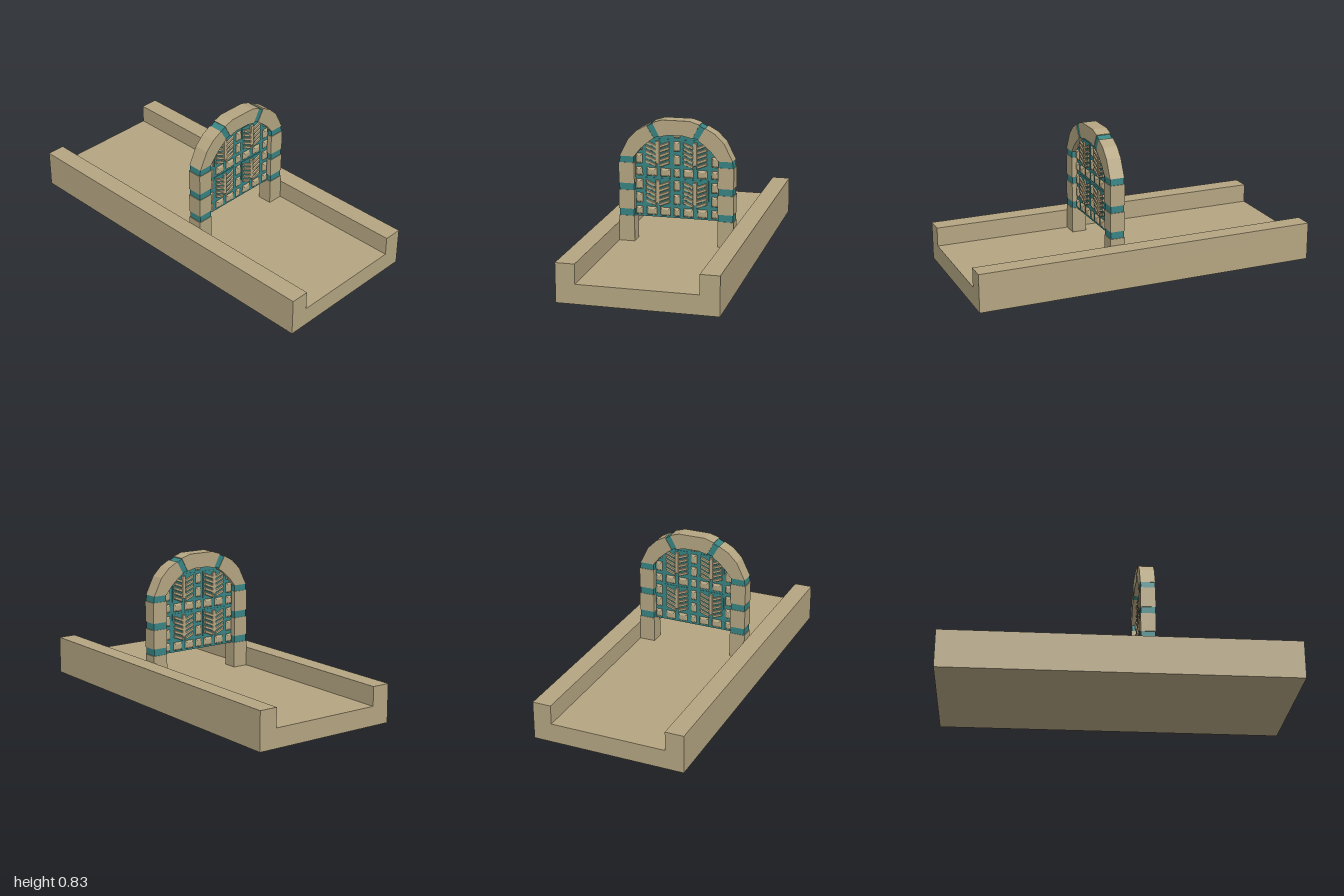
import * as THREE from 'three';

const stone = new THREE.MeshStandardMaterial({ color: 0xb5a682, flatShading: true });
const teal = new THREE.MeshStandardMaterial({ color: 0x388484, flatShading: true });

function add(parent, name, geometry, material, x = 0, y = 0, z = 0) {
  const mesh = new THREE.Mesh(geometry, material);
  mesh.name = name;
  mesh.position.set(x, y, z);
  parent.add(mesh);
  return mesh;
}

// Outline extruded along z, centred on z = 0
function slab(points, depth) {
  const shape = new THREE.Shape(points.map(([x, y]) => new THREE.Vector2(x, y)));
  return new THREE.ExtrudeGeometry(shape, { depth, bevelEnabled: false }).translate(0, 0, -depth / 2);
}

const flip = (points) => points.map(([x, y]) => [-x, y]);
const mirrored = (points) => [...points, ...flip(points).reverse()];

// Bar running through the door, with the same stepped bevel on both faces; slope shears it upward along x
function bevelBar(w, h, slope = 0, rim = 0.004, inset = 0.011) {
  const geometry = new THREE.BoxGeometry(w, h, 1, 1, 1, 5);
  const p = geometry.attributes.position;
  const levels = [[0.022, inset], [0.018, rim], [0.012, 0]];
  for (let i = 0; i < p.count; i++) {
    const z = p.getZ(i);
    const [depth, cut] = levels[Math.round((0.5 - Math.abs(z)) * 5)];
    const x = Math.sign(p.getX(i)) * (w / 2 - cut);
    const y = Math.sign(p.getY(i)) * (h / 2 - Math.min(cut, h * 0.28));
    p.setXYZ(i, x, y + slope * x, Math.sign(z) * depth);
  }
  geometry.computeVertexNormals();
  return geometry;
}

function createDoor() {
  const door = new THREE.Group();
  door.name = 'door';

  // Thin arched leaf
  add(door, 'doorLeaf', slab(mirrored([
    [0.26, 0.255], [0.26, 0.62], [0.215, 0.68], [0.14, 0.73], [0.06, 0.76],
  ]), 0.024), teal);

  // Horizontal rows of studs
  const columns = [[0, 0.037], [0.067, 0.058], [0.147, 0.058], [0.22, 0.039]];
  const sides = (x) => (x === 0 ? [1] : [-1, 1]);
  for (const y of [0.289, 0.518])
    for (const [x, w] of columns)
      for (const s of sides(x)) add(door, 'stud', bevelBar(w, 0.048), stone, s * x, y);

  // Upright columns of studs
  for (const y of [0.363, 0.443, 0.592, 0.672, 0.75])
    for (const [x, w] of [columns[0], columns[3]]) {
      if (x > 0 && y > 0.7) continue;
      for (const s of sides(x)) add(door, 'stud', bevelBar(w, 0.058), stone, s * x, y);
    }

  // Four square panels, each with a spine and five pairs of slanted ribs
  for (const px of [-0.111, 0.105])
    for (const py of [0.404, 0.632]) {
      const panel = new THREE.Group();
      panel.name = 'ribbedPanel';
      panel.position.set(px, py, 0);
      door.add(panel);
      add(panel, 'panelPlate', new THREE.BoxGeometry(0.158, 0.158, 0.029), teal);
      add(panel, 'spine', bevelBar(0.028, 0.136, 0, 0.002, 0.004), stone, 0, 0);
      for (let i = 0; i < 5; i++)
        for (const s of [-1, 1])
          add(panel, 'rib', bevelBar(0.062, 0.021, s * 0.4, 0.002, 0.004), stone, s * 0.039, 0.046 - i * 0.0275);
    }
  return door;
}

function createArch() {
  const arch = new THREE.Group();
  arch.name = 'archFrame';
  const depth = 0.085;

  // Teal core, showing in the gaps between stones
  const outer = [[0.329, 0.25], [0.329, 0.57], [0.325, 0.607], [0.272, 0.705], [0.223, 0.755], [0.165, 0.787], [0.135, 0.803], [0.08, 0.82]];
  const inner = [[0.245, 0.255], [0.245, 0.607], [0.205, 0.66], [0.165, 0.695], [0.126, 0.722], [0.094, 0.732], [0.045, 0.743]];
  const core = [...mirrored(outer), ...flip(inner), ...[...inner].reverse()];
  add(arch, 'archCore', slab(core, depth - 0.005), teal);

  // Pillar stones and curved shoulder stones
  const shoulder = [
    [0.327, 0.607], [0.277, 0.708], [0.225, 0.76], [0.169, 0.791],
    [0.127, 0.719], [0.165, 0.691], [0.205, 0.655], [0.243, 0.607],
  ];
  for (const s of [-1, 1]) {
    for (const [y0, y1] of [[0.11, 0.259], [0.3, 0.41], [0.45, 0.57]])
      add(arch, 'pillarStone', new THREE.BoxGeometry(0.091, y1 - y0, depth), stone, s * 0.2875, (y0 + y1) / 2);
    add(arch, 'shoulderStone', slab(s > 0 ? shoulder : flip(shoulder), depth), stone);
  }

  // Crown stone
  add(arch, 'crownStone', slab(mirrored([
    [0.045, 0.74], [0.094, 0.728], [0.136, 0.808], [0.08, 0.826],
  ]), depth), stone);
  return arch;
}

export function createModel() {
  const model = new THREE.Group();
  model.name = 'archedGate';

  // Channel-shaped base
  add(model, 'base', slab([
    [-0.44, 0], [0.44, 0], [0.44, 0.22], [0.333, 0.22],
    [0.333, 0.11], [-0.333, 0.11], [-0.333, 0.22], [-0.44, 0.22],
  ], 2), stone);

  const gate = new THREE.Group();
  gate.name = 'gate';
  gate.position.z = 0.157;
  gate.add(createArch(), createDoor());
  model.add(gate);
  return model;
}
